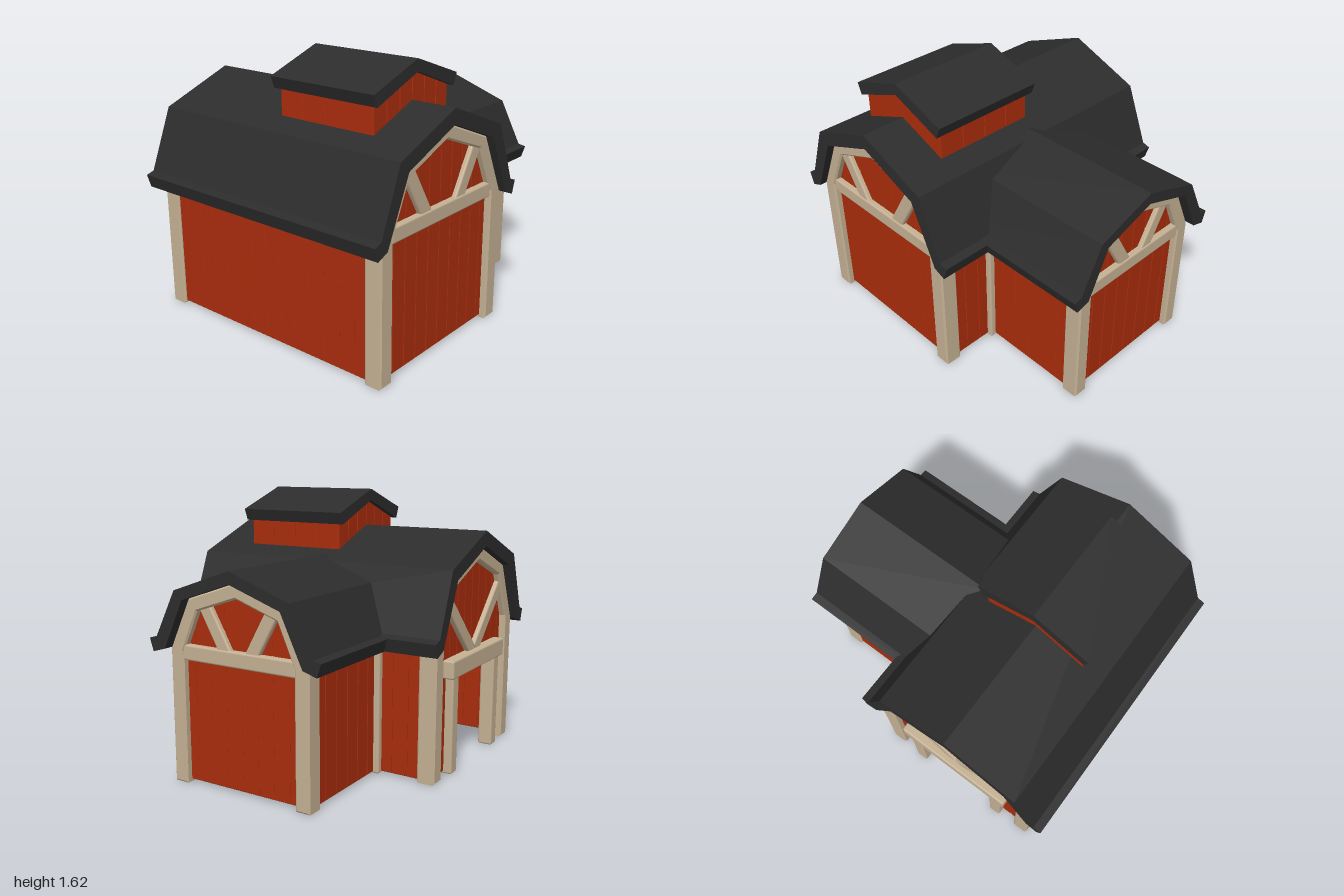
import * as THREE from 'three';
import { RoundedBoxGeometry } from 'three/addons/geometries/RoundedBoxGeometry.js';

const red = new THREE.MeshStandardMaterial({ color: 0xa82c0c });
red.name = 'barn red';
const cream = new THREE.MeshStandardMaterial({ color: 0xc4b093 });
cream.name = 'cream timber';
const charcoal = new THREE.MeshStandardMaterial({ color: 0x2c2c2c });
charcoal.name = 'charcoal roof';

// Half profiles [offset, height], ridge first
const MAIN = {
  roofOut: [[0, 1.4], [0.46, 1.22], [0.605, 0.855], [0.655, 0.84]],
  roofIn: [[0, 1.31], [0.39, 1.155], [0.555, 0.79], [0.63, 0.76]],
  archOut: [[0, 1.312], [0.388, 1.157], [0.555, 0.8], [0.555, 0]],
  archIn: [[0, 1.225], [0.325, 1.1], [0.455, 0.82], [0.455, 0]],
  wall: [[0, 1.27], [0.35, 1.13], [0.51, 0.8]],
};
const WING = {
  roofOut: [[0, 1.25], [0.38, 1.118], [0.52, 0.845], [0.57, 0.835]],
  roofIn: [[0, 1.18], [0.325, 1.07], [0.46, 0.785], [0.545, 0.76]],
  archOut: [[0, 1.182], [0.325, 1.072], [0.463, 0.78], [0.463, 0]],
  archIn: [[0, 1.095], [0.268, 1.005], [0.372, 0.77], [0.372, 0]],
  wall: [[0, 1.14], [0.295, 1.04], [0.42, 0.77]],
};
const CUPOLA = {
  roofOut: [[0, 1.625], [0.365, 1.495]],
  roofIn: [[0, 1.555], [0.338, 1.425]],
  wall: [[0, 1.56], [0.325, 1.44]],
};

const CX = -0.33; // centre line of the main barn

function add(parent, name, geometry, material, x = 0, y = 0, z = 0) {
  const mesh = new THREE.Mesh(geometry, material);
  mesh.name = name;
  mesh.position.set(x, y, z);
  parent.add(mesh);
  return mesh;
}

function section(parent, name, x = 0, z = 0, turn = 0) {
  const group = new THREE.Group();
  group.name = name;
  group.position.set(x, 0, z);
  group.rotation.y = turn;
  parent.add(group);
  return group;
}

// Full left-to-right line from a half profile
const mirrored = (half) => [
  ...half.slice(1).reverse().map(([x, y]) => [-x, y]), ...half,
];

// Prism along z, ending at z = 0, with an optional small chamfer
function prism(points, depth, bevel = 0) {
  const shape = new THREE.Shape(points.map(([x, y]) => new THREE.Vector2(x, y)));
  const geometry = new THREE.ExtrudeGeometry(shape, {
    depth: depth - 2 * bevel, bevelEnabled: bevel > 0, bevelThickness: bevel,
    bevelSize: bevel, bevelOffset: -bevel, bevelSegments: 1,
  });
  return geometry.translate(0, 0, bevel - depth);
}

// Closed band between an outer and an inner profile
const band = (outer, inner, depth, bevel) =>
  prism([...mirrored(outer), ...mirrored(inner).reverse()], depth, bevel);

const timber = (w, h, d) => new RoundedBoxGeometry(w, h, d, 2, 0.012);

// Height of a polyline at x
function heightAt(line, x) {
  for (let i = 1; i < line.length; i++) {
    const [x0, y0] = line[i - 1], [x1, y1] = line[i];
    if (x <= x1 + 1e-6) return y0 + (y1 - y0) * (x - x0) / (x1 - x0);
  }
  return line[line.length - 1][1];
}

// Chamfered vertical boards, cut to the top line
function boards(parent, top, count, floor, thickness = 0.03) {
  const left = top[0][0], width = (top[top.length - 1][0] - left) / count;
  for (let i = 0; i < count; i++) {
    const a = left + i * width, b = a + width;
    const bends = top.filter(([x]) => x > a + 0.002 && x < b - 0.002).reverse();
    const base = floor((a + b) / 2);
    add(parent, 'wallBoard', prism([
      [a, base], [b, base], [b, heightAt(top, b)], ...bends, [a, heightAt(top, a)],
    ], thickness, 0.004), red);
  }
}
const ground = () => 0.015;

// Slanted pair of timbers from (xTop, yTop) to (xLow, yLow)
function braces(parent, xTop, yTop, xLow, yLow, width) {
  const dx = xTop - xLow, dy = yTop - yLow;
  for (const s of [-1, 1]) {
    const mesh = add(parent, 'diagonalBrace', timber(width, Math.hypot(dx, dy) + 0.06, 0.07),
      cream, s * (xTop + xLow) / 2, (yTop + yLow) / 2, -0.047);
    mesh.rotation.z = -s * Math.atan2(dx, dy);
  }
}

// Gable end: arched frame and boards, front face at local z = 0
function gable(parent, p, count, floor) {
  add(parent, 'archedFrame', band(p.archOut, p.archIn, 0.11, 0.01), cream);
  const wall = section(parent, 'gableWall', 0, -0.04);
  boards(wall, mirrored(p.wall), count, floor);
}

// Straight boarded wall facing local +z
function sideWall(parent, name, x, z, turn, length, count) {
  const wall = section(parent, name, x, z, turn);
  boards(wall, [[-length / 2, 0.85], [length / 2, 0.85]], count, ground);
}

export function createModel() {
  const model = new THREE.Group();
  model.name = 'barn';
  const barn = section(model, 'building', 0, 0, 0.016);
  const quarter = Math.PI / 2;

  // Main barn
  const roof = section(barn, 'mainRoof', CX, 0.87);
  add(roof, 'gambrelRoof', band(MAIN.roofOut, MAIN.roofIn, 1.74), charcoal);

  const front = section(barn, 'frontGable', CX, 0.83);
  gable(front, MAIN, 10, ground);
  add(front, 'crossBeam', timber(0.92, 0.09, 0.1), cream, 0, 0.825, -0.055);
  braces(front, 0.31, 1.12, 0.155, 0.86, 0.085);

  const back = section(barn, 'backGable', CX, -0.83, Math.PI);
  gable(back, MAIN, 10, (x) => (Math.abs(x) < 0.305 ? 0.62 : 0.015));
  braces(back, 0.37, 1.02, 0.04, 0.7, 0.085);
  for (const s of [-1, 1]) {
    add(back, 'doorPost', timber(0.08, 0.6, 0.09), cream, s * 0.305, 0.3, -0.035);
  }
  add(back, 'doorLintel', timber(0.76, 0.11, 0.1), cream, 0, 0.635, -0.025);

  sideWall(barn, 'leftSideWall', CX - 0.54, 0, -quarter, 1.5, 14);
  for (const s of [-1, 1]) {
    sideWall(barn, 'shortSideWall', CX + 0.54, s * 0.6, quarter, 0.3, 3);
    add(barn, 'jointPost', timber(0.05, 0.8, 0.05), cream, 0.22, 0.405, s * 0.458);
  }

  // Wing
  const wingRoof = section(barn, 'wingRoof', 0.985, 0, quarter);
  add(wingRoof, 'gambrelRoof', band(WING.roofOut, WING.roofIn, 0.935), charcoal);

  const wing = section(barn, 'wingGable', 0.935, 0, quarter);
  gable(wing, WING, 8, ground);
  add(wing, 'crossBeam', timber(0.76, 0.09, 0.1), cream, 0, 0.765, -0.055);
  braces(wing, 0.215, 1.02, 0.09, 0.8, 0.08);
  for (const s of [-1, 1]) {
    sideWall(barn, 'wingSideWall', 0.535, s * 0.448, s > 0 ? 0 : Math.PI, 0.66, 6);
  }

  // Roof cupola
  const cupola = section(barn, 'cupola', CX, 0.27);
  const cap = section(cupola, 'cupolaRoof', 0, 0.36);
  add(cap, 'gabledCap', band(CUPOLA.roofOut, CUPOLA.roofIn, 0.72), charcoal);
  for (const turn of [0, Math.PI]) {
    const end = section(cupola, 'cupolaEnd', 0, turn ? -0.325 : 0.325, turn);
    boards(end, mirrored(CUPOLA.wall), 6, () => 1.22);
  }
  for (const s of [-1, 1]) {
    const side = section(cupola, 'cupolaSide', s * 0.325, 0, s * quarter);
    boards(side, [[-0.325, 1.45], [0.325, 1.45]], 4, () => 1.22);
  }
  return model;
}
